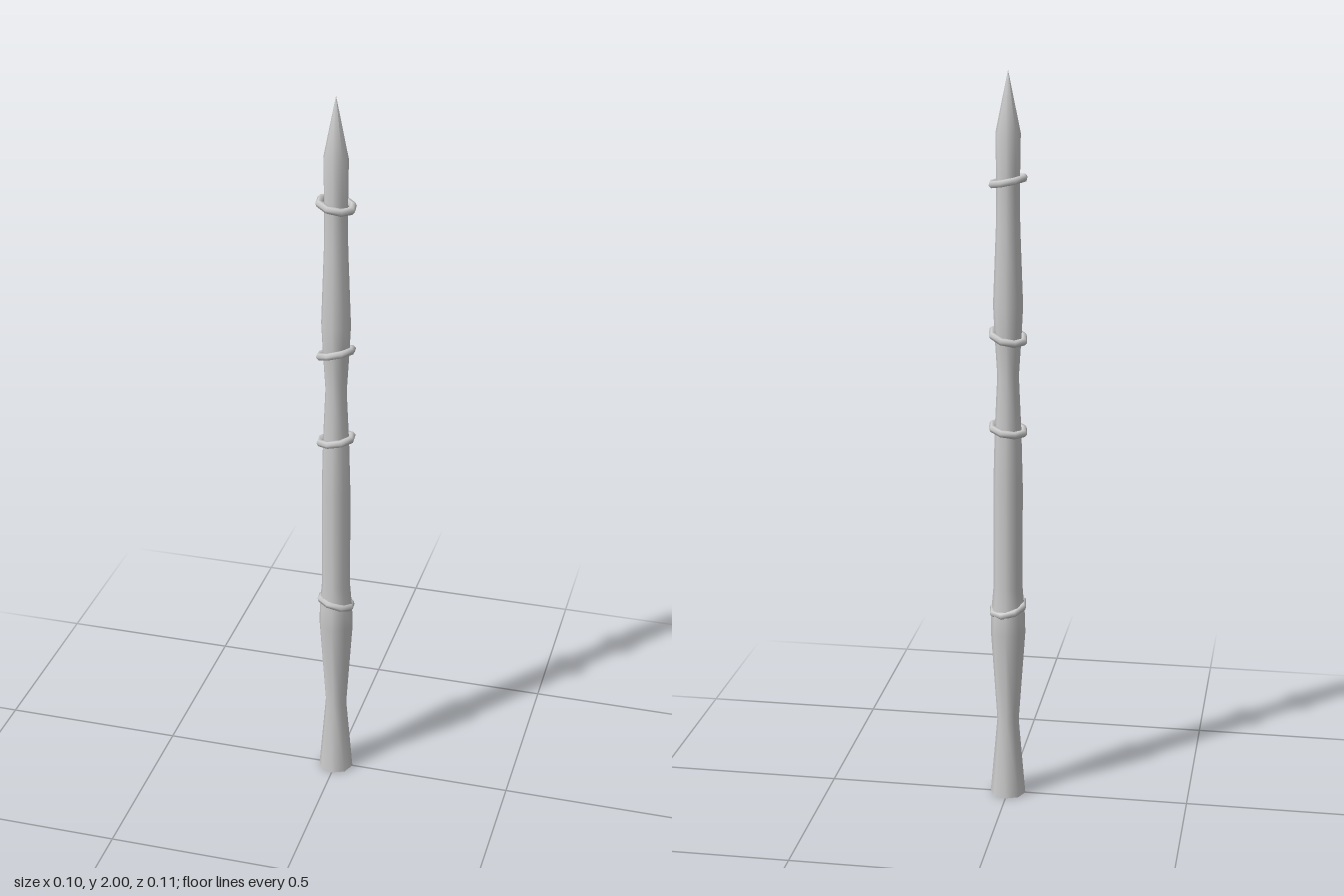
import * as THREE from 'three';

const SIDES = 8;

export function createModel() {
  const group = new THREE.Group();
  const material = new THREE.MeshStandardMaterial({ color: 0xcccccc });
  const add = (name, geometry) => {
    const mesh = new THREE.Mesh(geometry, material);
    mesh.name = name;
    group.add(mesh);
    return mesh;
  };

  // Swelling and narrowing shaft, ending in a sharp point: [radius, height]
  const profile = [
    [0.049, 0], [0.03, 0.22], [0.048, 0.48], [0.046, 0.54], [0.04, 0.61], [0.04, 0.9],
    [0.036, 1.05], [0.029, 1.2], [0.036, 1.31], [0.04, 1.39], [0.032, 1.6],
    [0.031, 1.7], [0.033, 1.84], [0, 2],
  ].map(([r, y]) => new THREE.Vector2(r, y));
  add('shaft', new THREE.LatheGeometry(profile, SIDES));

  // Flat underside
  const base = new THREE.CircleGeometry(0.049, SIDES);
  base.rotateX(Math.PI / 2);
  add('base', base);

  // Tilted binding rings: [height, tilt about x, tilt about z]
  const rings = [
    [0.55, -0.22, -0.22],
    [1.055, -0.1, 0.18],
    [1.308, -0.2, 0.25],
    [1.717, 0.02, -0.2],
  ];
  rings.forEach(([y, tiltX, tiltZ], i) => {
    const geometry = new THREE.TorusGeometry(0.045, 0.01, 6, SIDES);
    geometry.rotateX(Math.PI / 2);
    geometry.rotateY(-0.25);
    const ring = add(`bindingRing${i + 1}`, geometry);
    ring.position.y = y;
    ring.rotation.set(tiltX, 0, tiltZ);
  });

  return group;
}
